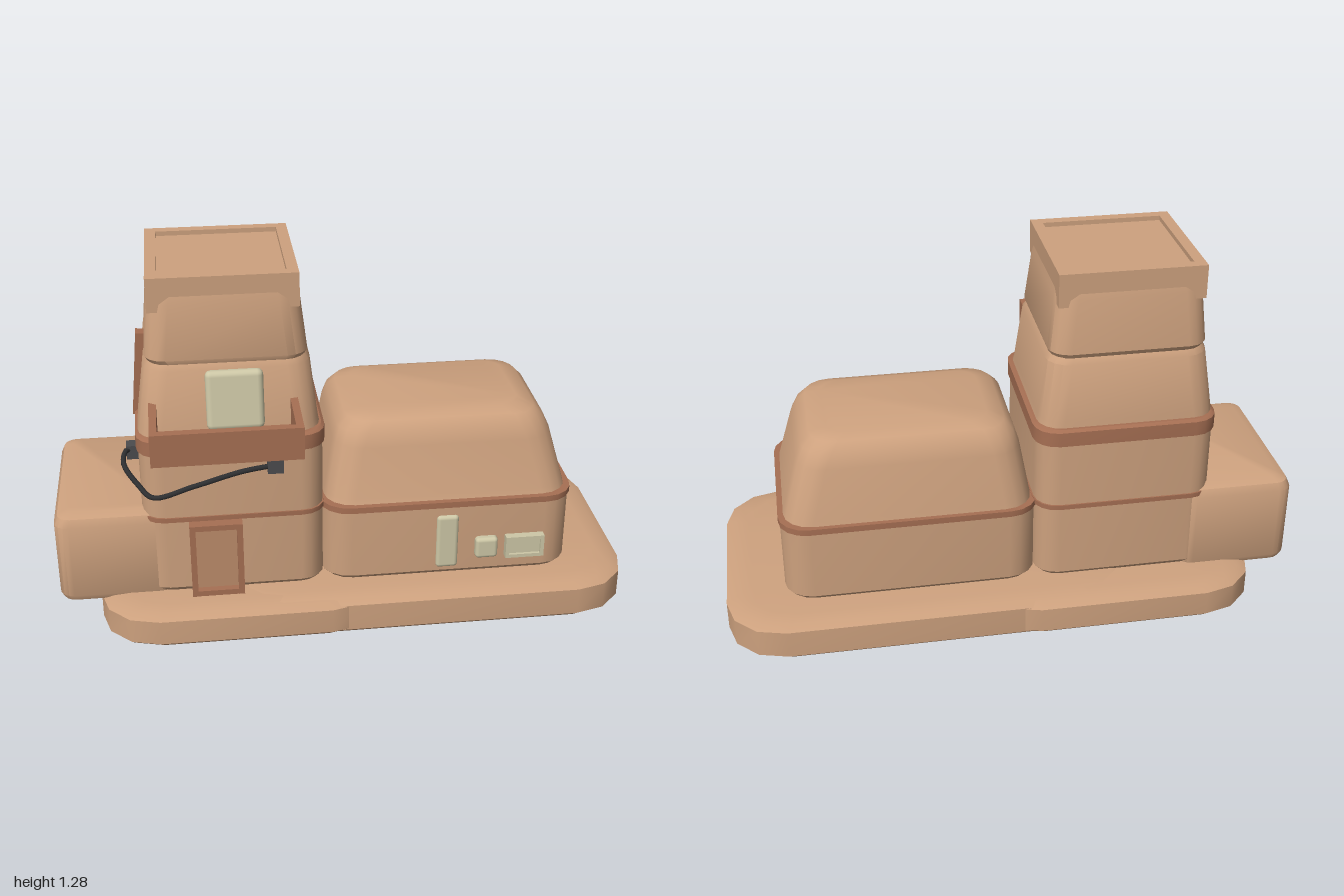
import * as THREE from 'three';
import { toCreasedNormals } from 'three/addons/utils/BufferGeometryUtils.js';
import { RoundedBoxGeometry } from 'three/addons/geometries/RoundedBoxGeometry.js';

const paint = (name, color) => {
  const m = new THREE.MeshStandardMaterial({ color });
  m.name = name;
  return m;
};

// Stacks rounded-rectangle sections; each level is [y, x0, x1, z0, z1, cornerRadius]
function loft(levels, seg = 4) {
  const pos = [], idx = [], n = 4 * (seg + 1);
  for (const [y, x0, x1, z0, z1, r] of levels) {
    const corners = [[x1 - r, z1 - r], [x0 + r, z1 - r], [x0 + r, z0 + r], [x1 - r, z0 + r]];
    corners.forEach(([cx, cz], q) => {
      for (let s = 0; s <= seg; s++) {
        const a = (q + s / seg) * Math.PI / 2;
        pos.push(cx + r * Math.cos(a), y, cz + r * Math.sin(a));
      }
    });
  }
  for (let l = 0; l < levels.length - 1; l++) {
    for (let j = 0; j < n; j++) {
      const a = l * n + j, b = l * n + (j + 1) % n;
      idx.push(a, a + n, b, b, a + n, b + n);
    }
  }
  // flat lids at both ends
  const top = (levels.length - 1) * n;
  for (let j = 1; j < n - 1; j++) {
    idx.push(0, j, j + 1);
    idx.push(top, top + j + 1, top + j);
  }
  const g = new THREE.BufferGeometry();
  g.setAttribute('position', new THREE.Float32BufferAttribute(pos, 3));
  g.setIndex(idx);
  return toCreasedNormals(g, 0.6);
}

// Section helper: a rectangle shrunk by d
const sec = (y, [x0, x1, z0, z1], r, d = 0) => [y, x0 + d, x1 - d, z0 + d, z1 - d, Math.max(r - d * 0.5, 0.01)];

export function createModel() {
  const model = new THREE.Group();
  const tan = paint('tan clay', 0xcda17e);
  const brown = paint('brown trim', 0xa66f53);
  const doorTan = paint('door panel', 0xbd8c6a);
  const cream = paint('cream glass', 0xcdc7a6);
  const grey = paint('grey fitting', 0x4c4c4e);
  const black = paint('black cable', 0x2e2f31);

  const add = (name, geo, mat, x = 0, y = 0, z = 0) => {
    const m = new THREE.Mesh(geo, mat);
    m.name = name;
    m.position.set(x, y, z);
    model.add(m);
    return m;
  };
  // box given by its limits
  const box = (name, mat, x0, x1, y0, y1, z0, z1) =>
    add(name, new THREE.BoxGeometry(x1 - x0, y1 - y0, z1 - z0), mat, (x0 + x1) / 2, (y0 + y1) / 2, (z0 + z1) / 2);
  const softBox = (name, mat, x0, x1, y0, y1, z0, z1, r) =>
    add(name, new RoundedBoxGeometry(x1 - x0, y1 - y0, z1 - z0, 2, r), mat, (x0 + x1) / 2, (y0 + y1) / 2, (z0 + z1) / 2);

  // Ground slabs
  const slab = (name, rect, y0, y1) => add(name, loft([
    sec(y0, rect, 0.2, 0.06), sec(y0 + 0.012, rect, 0.2, 0.02), sec(y0 + 0.03, rect, 0.2),
    sec(y1 - 0.022, rect, 0.2), sec(y1 - 0.008, rect, 0.2, 0.03), sec(y1, rect, 0.2, 0.08)], 3), tan);
  slab('baseRight', [-0.45, 1.0, -0.475, 0.43], 0, 0.15);
  slab('baseLeft', [-0.86, 0.13, -0.49, 0.445], 0.006, 0.147);

  // Side annex
  const annex = [-1.0, -0.6, -0.335, 0.285];
  add('sideAnnex', loft([
    sec(0.12, annex, 0.05, 0.03), sec(0.128, annex, 0.05, 0.01), sec(0.15, annex, 0.05), sec(0.42, annex, 0.05),
    sec(0.447, annex, 0.05, 0.012), sec(0.46, annex, 0.05, 0.045)]), tan);

  // House: lower walls, trim and tapered roof
  const house = [-0.085, 0.795, -0.333, 0.3];
  add('houseWalls', loft([
    sec(0.14, house, 0.1, 0.02), sec(0.165, house, 0.1), sec(0.43, house, 0.1)]), tan);
  add('houseTrim', loft([
    sec(0.42, house, 0.1, -0.006), sec(0.442, house, 0.1, -0.006)]), brown);
  add('houseRoof', loft([
    [0.43, -0.075, 0.785, -0.325, 0.29, 0.1],
    [0.46, -0.07, 0.778, -0.318, 0.278, 0.1],
    [0.64, -0.038, 0.728, -0.29, 0.247, 0.1],
    [0.69, -0.022, 0.705, -0.275, 0.232, 0.1],
    [0.722, 0.008, 0.675, -0.25, 0.208, 0.09],
    [0.737, 0.065, 0.62, -0.21, 0.165, 0.07]]), tan);

  // Tower tiers
  const tower = [-0.7, -0.08, -0.333, 0.297];
  add('towerBase', loft([
    sec(0.14, tower, 0.08, 0.02), sec(0.165, tower, 0.08), sec(0.7, tower, 0.08)]), tan);
  add('towerLowerTrim', loft([
    sec(0.428, tower, 0.08, -0.005), sec(0.445, tower, 0.08, -0.005)]), brown);
  add('towerBand', loft([
    sec(0.68, tower, 0.08, -0.007), sec(0.732, tower, 0.08, -0.007), sec(0.74, tower, 0.08, 0.003)]), brown);
  add('towerMiddle', loft([
    [0.72, -0.7, -0.085, -0.322, 0.285, 0.08],
    [0.76, -0.695, -0.093, -0.318, 0.279, 0.08],
    [0.965, -0.666, -0.116, -0.302, 0.25, 0.08],
    [0.985, -0.652, -0.13, -0.288, 0.238, 0.07]]), tan);
  add('towerUpper', loft([
    [0.975, -0.648, -0.134, -0.284, 0.235, 0.07],
    [1.0, -0.662, -0.124, -0.298, 0.246, 0.07],
    [1.185, -0.645, -0.145, -0.28, 0.226, 0.07],
    [1.225, -0.636, -0.154, -0.27, 0.217, 0.07]]), tan);

  // Tower cap with a shallow square recess
  const cap = [-0.643, -0.15, -0.275, 0.22], rim = 0.038;
  box('capBlock', tan, cap[0], cap[1], 1.16, 1.26, cap[2], cap[3]);
  const ring = new THREE.Shape([[cap[0], -cap[3]], [cap[1], -cap[3]], [cap[1], -cap[2]], [cap[0], -cap[2]]]
    .map(p => new THREE.Vector2(...p)));
  ring.holes.push(new THREE.Path([[cap[0] + rim, -cap[3] + rim], [cap[0] + rim, -cap[2] - rim],
    [cap[1] - rim, -cap[2] - rim], [cap[1] - rim, -cap[3] + rim]].map(p => new THREE.Vector2(...p))));
  add('capRim', new THREE.ExtrudeGeometry(ring, { depth: 0.016, bevelEnabled: false }), tan, 0, 1.26, 0).rotation.x = -Math.PI / 2;

  // Door
  box('doorPanel', doorTan, -0.53, -0.38, 0.16, 0.41, 0.28, 0.312);
  for (const x of [-0.545, -0.385]) box('doorJamb', brown, x, x + 0.02, 0.148, 0.427, 0.28, 0.338);
  for (const y of [0.148, 0.407]) box('doorLintel', brown, -0.526, -0.384, y, y + 0.02, 0.28, 0.337);

  // Balcony tray
  box('balconyFloor', brown, -0.655, -0.165, 0.742, 0.765, 0.2, 0.484);
  box('balconyFront', brown, -0.655, -0.165, 0.742, 0.855, 0.458, 0.485);
  for (const x of [-0.655, -0.19]) box('balconySide', brown, x, x + 0.025, 0.743, 0.855, 0.24, 0.46);

  // Balcony window, leaning with the wall
  softBox('balconyWindow', cream, -0.468, -0.277, 0.76, 0.965, 0.244, 0.288, 0.02).rotation.x = -0.13;

  // House windows
  softBox('tallWindow', cream, 0.31, 0.388, 0.18, 0.388, 0.28, 0.312, 0.014);
  softBox('smallWindow', cream, 0.448, 0.528, 0.215, 0.295, 0.28, 0.325, 0.014);
  box('wideWindow', cream, 0.57, 0.68, 0.226, 0.284, 0.28, 0.318);
  for (const y of [0.213, 0.283]) box('windowFrameRail', cream, 0.555, 0.692, y, y + 0.013, 0.28, 0.328);
  for (const x of [0.555, 0.679]) box('windowFrameStile', cream, x, x + 0.013, 0.226, 0.283, 0.28, 0.328);

  // Side strut leaning on the tower
  box('sideStrut', brown, -0.702, -0.662, 0.72, 1.02, 0.005, 0.05).rotation.z = -0.09;

  // Cable and its end fittings
  box('cableSocket', grey, -0.275, -0.222, 0.615, 0.665, 0.285, 0.34);
  box('sideSocket', grey, -0.742, -0.69, 0.605, 0.655, 0.115, 0.16);
  const path = new THREE.CatmullRomCurve3([
    [-0.25, 0.64, 0.325], [-0.36, 0.62, 0.32], [-0.52, 0.57, 0.312], [-0.66, 0.532, 0.305], [-0.705, 0.56, 0.265],
    [-0.752, 0.61, 0.2], [-0.745, 0.64, 0.165], [-0.72, 0.632, 0.14]].map(p => new THREE.Vector3(...p)));
  add('cable', new THREE.TubeGeometry(path, 40, 0.009, 8), black);

  return model;
}
